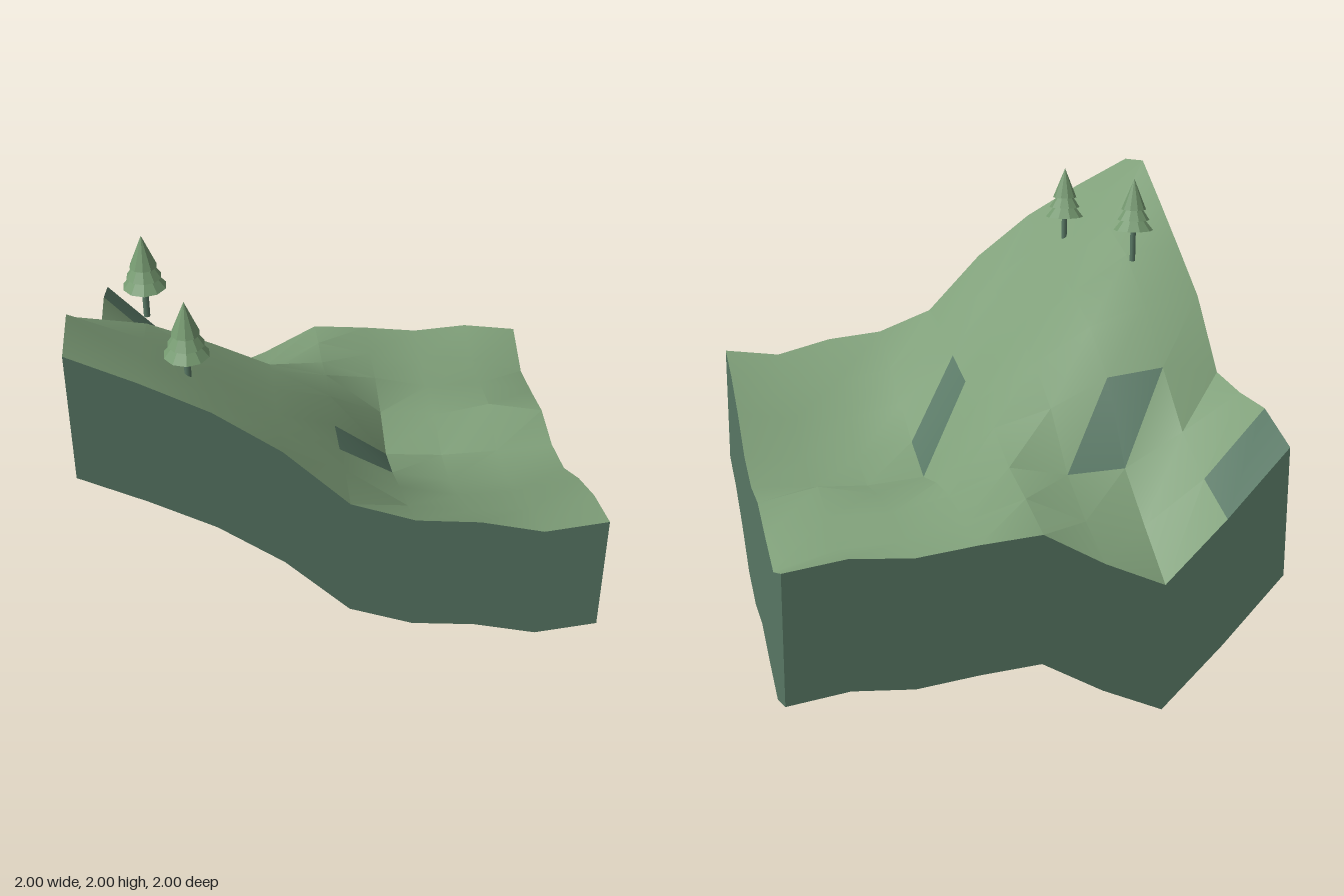
import * as THREE from 'three';
import { toCreasedNormals } from 'three/addons/utils/BufferGeometryUtils.js';

const N = 9, STEP = 0.25, SKIRT = 0.53;

// Ground heights: one row per z from back (-1) to front (+1), x from -1 to +1
const HEIGHTS = [
  [1.055, 0.78, 0.53, 0.64, 0.78, 0.76, 0.73, 0.75, 0.715],
  [1.15, 0.87, 0.69, 0.73, 0.845, 0.77, 0.71, 0.70, 0.63],
  [1.155, 1.0, 0.86, 0.85, 0.90, 0.80, 0.74, 0.745, 0.685],
  [1.185, 1.22, 1.19, 1.07, 1.0, 0.78, 0.75, 0.80, 0.75],
  [1.475, 1.45, 1.36, 1.21, 1.06, 0.73, 0.71, 0.72, 0.74],
  [1.655, 1.63, 1.47, 1.29, 1.085, 0.82, 0.76, 0.76, 0.80],
  [1.83, 1.72, 1.54, 1.34, 1.15, 0.94, 0.88, 0.89, 0.94],
  [2.0, 1.81, 1.625, 1.44, 1.24, 1.045, 1.0, 1.0, 1.05],
  [1.985, 1.86, 1.72, 1.53, 1.27, 1.175, 1.15, 1.087, 1.12],
];

// Dark ground patches as grid triangles: column, row, half (a = back, b = front)
const PATCHES = new Set(['0,0,a', '0,0,b', '1,2,b', '2,2,a', '4,4,b', '4,5,a']);

const point = (i, j) => [i * STEP - 1, HEIGHTS[j][i], j * STEP - 1];

function bufferGeometry(positions, index) {
  const geometry = new THREE.BufferGeometry();
  geometry.setAttribute('position', new THREE.Float32BufferAttribute(positions, 3));
  geometry.setIndex(index);
  return geometry;
}

// Rolling ground, with the dark patches in a second material group
function groundGeometry() {
  const positions = [], grass = [], dark = [];
  for (let j = 0; j < N; j++) for (let i = 0; i < N; i++) positions.push(...point(i, j));
  for (let j = 0; j < N - 1; j++) {
    for (let i = 0; i < N - 1; i++) {
      const a = j * N + i, b = a + N, c = b + 1, d = a + 1;
      (PATCHES.has(`${i},${j},a`) ? dark : grass).push(a, b, d);
      (PATCHES.has(`${i},${j},b`) ? dark : grass).push(b, c, d);
    }
  }
  const geometry = bufferGeometry(positions, [...grass, ...dark]);
  geometry.addGroup(0, grass.length, 0);
  geometry.addGroup(grass.length, dark.length, 1);
  return toCreasedNormals(geometry, 0.5);
}

// Wall hanging below one edge of the ground; edge maps a step to a grid column and row
function wallGeometry(edge) {
  const positions = [], index = [];
  for (let k = 0; k < N; k++) {
    const [x, y, z] = point(...edge(k));
    positions.push(x, y, z, x, y - SKIRT, z);
    if (k < N - 1) {
      const a = 2 * k;
      index.push(a, a + 1, a + 3, a, a + 3, a + 2);
    }
  }
  const geometry = bufferGeometry(positions, index);
  geometry.computeVertexNormals();
  return geometry;
}

export function createModel() {
  const model = new THREE.Group();
  const grass = new THREE.MeshStandardMaterial({ color: 0x7f9f79, side: THREE.DoubleSide });
  grass.name = 'grass green';
  const earth = new THREE.MeshStandardMaterial({ color: 0x587764, side: THREE.DoubleSide });
  earth.name = 'dark blue green';
  const needles = new THREE.MeshStandardMaterial({ color: 0x759970, flatShading: true });
  needles.name = 'needle green';

  const add = (parent, name, geometry, material, x = 0, y = 0, z = 0) => {
    const mesh = new THREE.Mesh(geometry, material);
    mesh.name = name;
    mesh.position.set(x, y, z);
    parent.add(mesh);
  };

  add(model, 'ground', groundGeometry(), [grass, earth]);

  // Open-bottomed walls, each running left to right as seen from outside
  const last = N - 1;
  add(model, 'frontWall', wallGeometry((k) => [k, last]), earth);
  add(model, 'backWall', wallGeometry((k) => [last - k, 0]), earth);
  add(model, 'leftWall', wallGeometry((k) => [last, last - k]), earth);
  add(model, 'rightWall', wallGeometry((k) => [0, k]), earth);

  // Conifers: thin trunk and three stacked cones
  const tiers = [[0.088, 1.755, 0.108], [0.071, 1.8, 0.108], [0.055, 1.846, 0.135]];
  for (const [x, base, z] of [[-0.75, 1.615, 0.168], [-0.585, 1.645, 0.668]]) {
    const tree = new THREE.Group();
    tree.name = 'tree';
    const height = 1.78 - base;
    add(tree, 'trunk', new THREE.CylinderGeometry(0.013, 0.013, height, 8), earth, 0, base + height / 2, 0);
    tiers.forEach(([radius, bottom, h]) =>
      add(tree, 'foliage', new THREE.ConeGeometry(radius, h, 10), needles, 0, bottom + h / 2, 0));
    tree.position.set(x, 0, z);
    model.add(tree);
  }
  return model;
}
